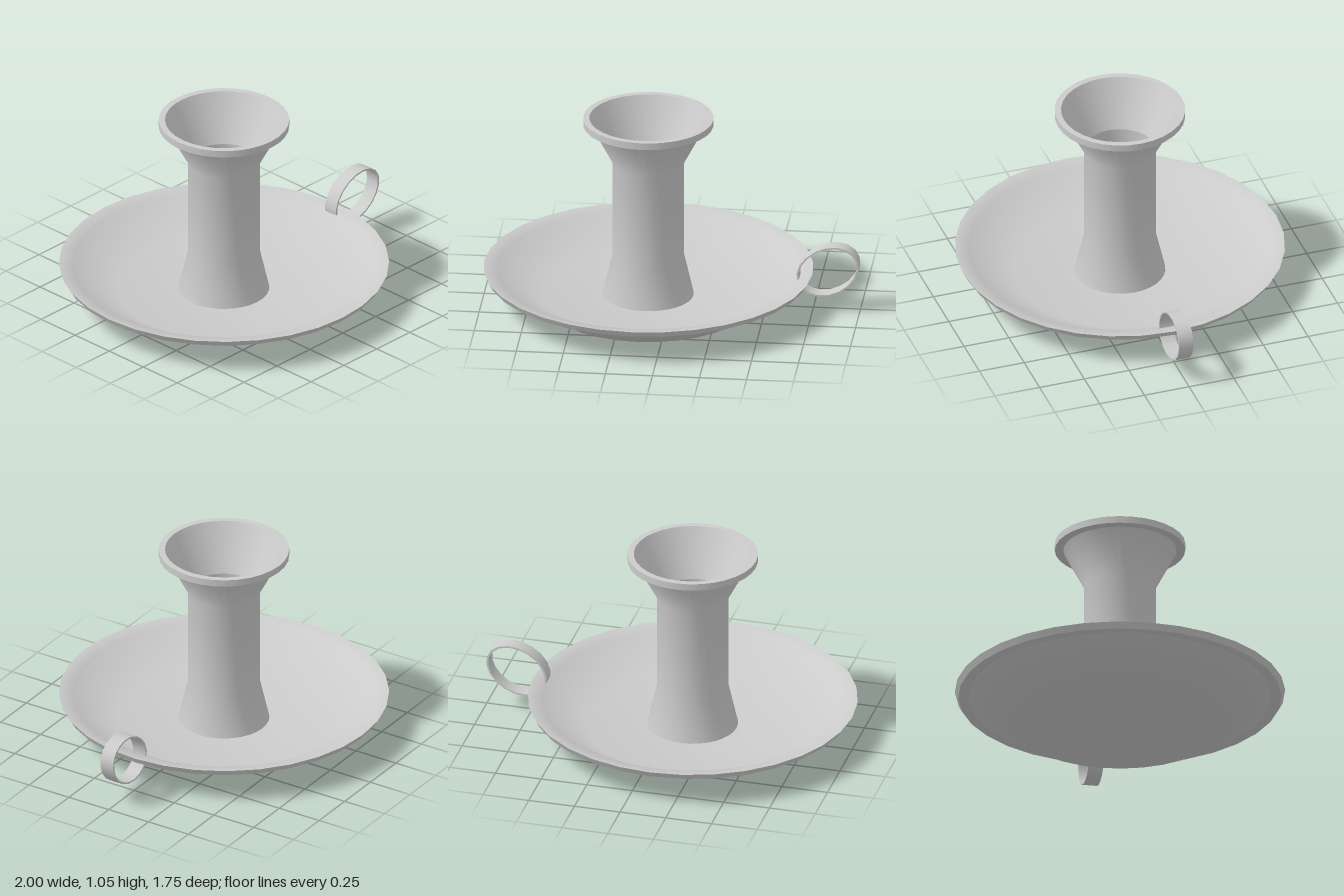
import * as THREE from 'three';
import { mergeGeometries } from 'three/addons/utils/BufferGeometryUtils.js';

const material = new THREE.MeshStandardMaterial({ color: 0xcccccc, side: THREE.DoubleSide });

// Revolves several profile stretches; each is smooth, with a sharp edge between them.
function turned(segments, ...stretches) {
  return mergeGeometries(stretches.map((stretch) =>
    new THREE.LatheGeometry(stretch.map(([r, y]) => new THREE.Vector2(r, y)), segments)));
}

function addPart(group, name, geometry) {
  const mesh = new THREE.Mesh(geometry, material);
  mesh.name = name;
  group.add(mesh);
  return mesh;
}

export function createModel() {
  const group = new THREE.Group();
  group.name = 'candleHolder';
  const body = new THREE.Group();
  body.name = 'body';
  body.position.x = -0.127;
  group.add(body);

  // Shallow dish: underside, lip, edge band and hollow
  addPart(body, 'dish', turned(32,
    [[0, 0], [0.56, 0], [0.8, 0.157]],
    [[0.8, 0.157], [0.855, 0.157]],
    [[0.855, 0.157], [0.873, 0.19]],
    [[0.873, 0.19], [0.8, 0.178], [0.57, 0.04], [0, 0.04]]));

  // Hollow stem with a flared foot and mouth
  addPart(body, 'stem', turned(32,
    [[0.24, 0.04], [0.19, 0.26], [0.19, 0.8], [0.3, 1.01]],
    [[0.312, 1.05], [0.187, 0.8]],
    [[0.187, 0.8], [0.187, 0.04]]));

  // Flat collar around the mouth
  addPart(body, 'collar', turned(32,
    [[0.295, 1.012], [0.345, 1.012]],
    [[0.345, 1.012], [0.345, 1.05]],
    [[0.345, 1.05], [0.312, 1.05]]));

  // Tilted oval finger loop made from a flat band
  const h = 0.04, inner = 0.935;
  const loop = turned(18,
    [[inner, -h], [1, -h]],
    [[1, -h], [1, h]],
    [[1, h], [inner, h]],
    [[inner, h], [inner, -h]]);
  loop.scale(0.175, 1, 0.132);
  loop.rotateX(Math.PI / 2);
  loop.rotateZ(THREE.MathUtils.degToRad(29));
  addPart(group, 'fingerLoop', loop).position.set(0.831, 0.227, 0.015);

  return group;
}
